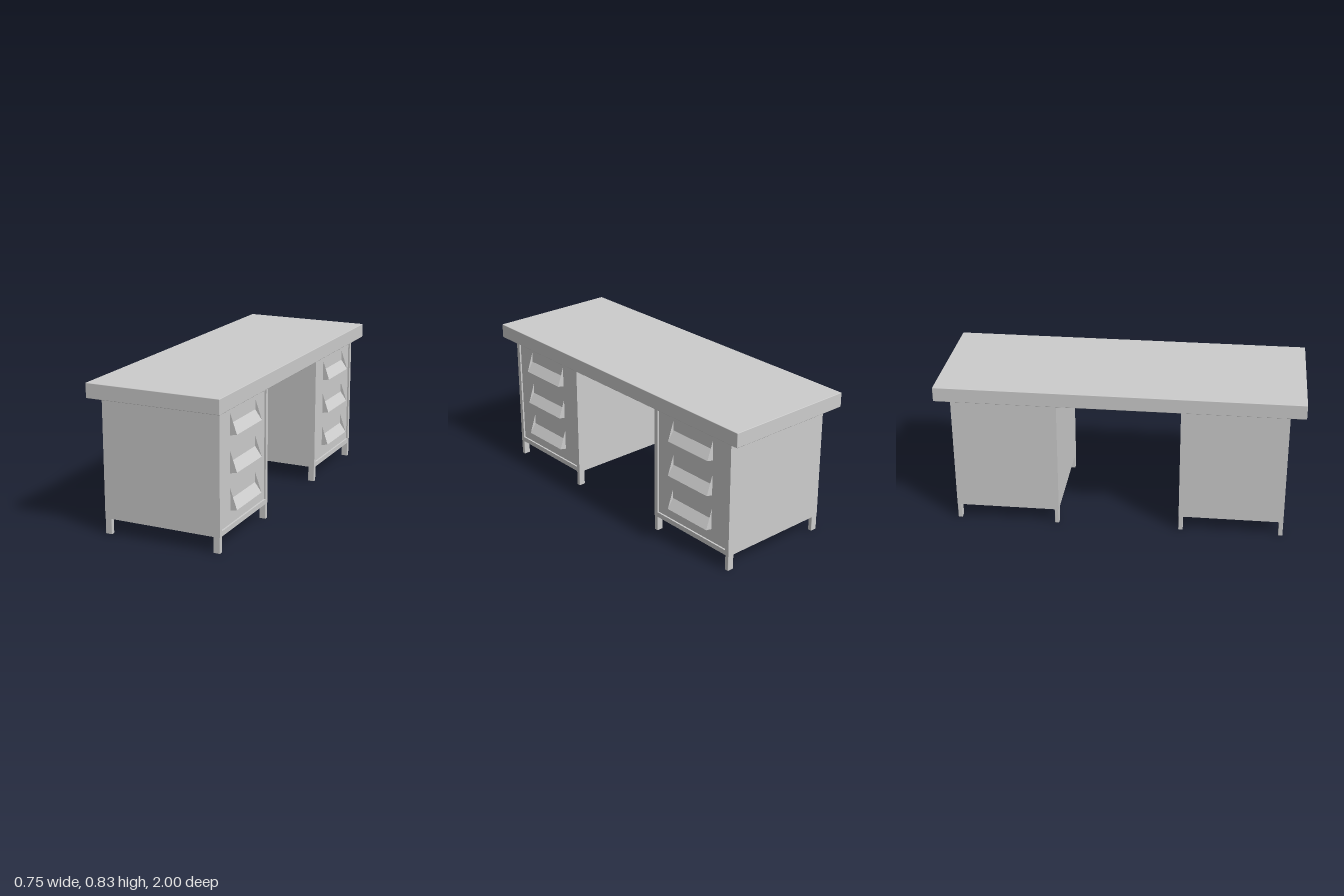
import * as THREE from 'three';
import { RoundedBoxGeometry } from 'three/addons/geometries/RoundedBoxGeometry.js';

const grey = new THREE.MeshStandardMaterial({ color: 0xcccccc, side: THREE.DoubleSide });
grey.name = 'grey paint';

const PANEL_X = 0.325, FRONT_X = 0.335;
const BOTTOM = 0.087, TOP = 0.757, DEPTH = 0.58;

function part(name, geometry, x = 0, y = 0, z = 0) {
  const mesh = new THREE.Mesh(geometry, grey);
  mesh.name = name;
  mesh.position.set(x, y, z);
  return mesh;
}

function rectangle(PathType, x0, y0, x1, y1) {
  const p = new PathType();
  p.moveTo(x0, y0);
  p.lineTo(x1, y0);
  p.lineTo(x1, y1);
  p.lineTo(x0, y1);
  p.closePath();
  return p;
}

// Open pull: a sloping plate between two triangular cheeks
function createHandle(y) {
  const handle = new THREE.Group();
  handle.name = 'drawerHandle';
  const width = 0.3, lipX = 0.363, rise = 0.053;
  const run = lipX - PANEL_X;
  const plate = part('handlePlate', new THREE.PlaneGeometry(width, Math.hypot(run, rise)));
  plate.geometry.rotateX(-Math.atan2(run, rise)).rotateY(Math.PI / 2);
  plate.position.set((lipX + PANEL_X) / 2, rise / 2, 0);
  handle.add(plate);

  const cheek = new THREE.Shape([
    new THREE.Vector2(PANEL_X, -0.008),
    new THREE.Vector2(lipX, 0),
    new THREE.Vector2(PANEL_X, 0.11),
  ]);
  for (const side of [-1, 1]) {
    handle.add(part('handleCheek', new THREE.ShapeGeometry(cheek), 0, 0, side * width / 2));
  }
  handle.position.y = y;
  return handle;
}

function createPedestal() {
  const pedestal = new THREE.Group();
  pedestal.name = 'pedestal';
  const height = TOP - BOTTOM;

  // Cabinet body, whose +x face is the recessed drawer panel
  pedestal.add(part('cabinet', new THREE.BoxGeometry(FRONT_X + PANEL_X, height, DEPTH),
    (PANEL_X - FRONT_X) / 2, BOTTOM + height / 2));

  // Raised frame around the drawer panel
  const half = DEPTH / 2;
  const outline = rectangle(THREE.Shape, -half, BOTTOM, half, TOP);
  outline.holes.push(rectangle(THREE.Path, -half + 0.024, 0.115, half - 0.024, 0.725));
  const frame = new THREE.ExtrudeGeometry(outline, { depth: FRONT_X - PANEL_X, bevelEnabled: false });
  frame.rotateY(Math.PI / 2);
  pedestal.add(part('drawerFrame', frame, PANEL_X));

  // Short legs flush with the four corners
  for (const sx of [-1, 1]) for (const sz of [-1, 1]) {
    const leg = new RoundedBoxGeometry(0.038, 0.1, 0.024, 1, 0.003);
    pedestal.add(part('leg', leg, sx * (FRONT_X - 0.019), 0.05, sz * (half - 0.012)));
  }

  for (const y of [0.194, 0.394, 0.594]) pedestal.add(createHandle(y));
  return pedestal;
}

export function createModel() {
  const desk = new THREE.Group();
  desk.name = 'desk';
  desk.add(part('desktop', new RoundedBoxGeometry(0.754, 0.081, 2, 1, 0.003), 0, 0.7925, 0));
  for (const side of [-1, 1]) {
    const pedestal = createPedestal();
    pedestal.position.z = side * 0.627;
    desk.add(pedestal);
  }
  return desk;
}
